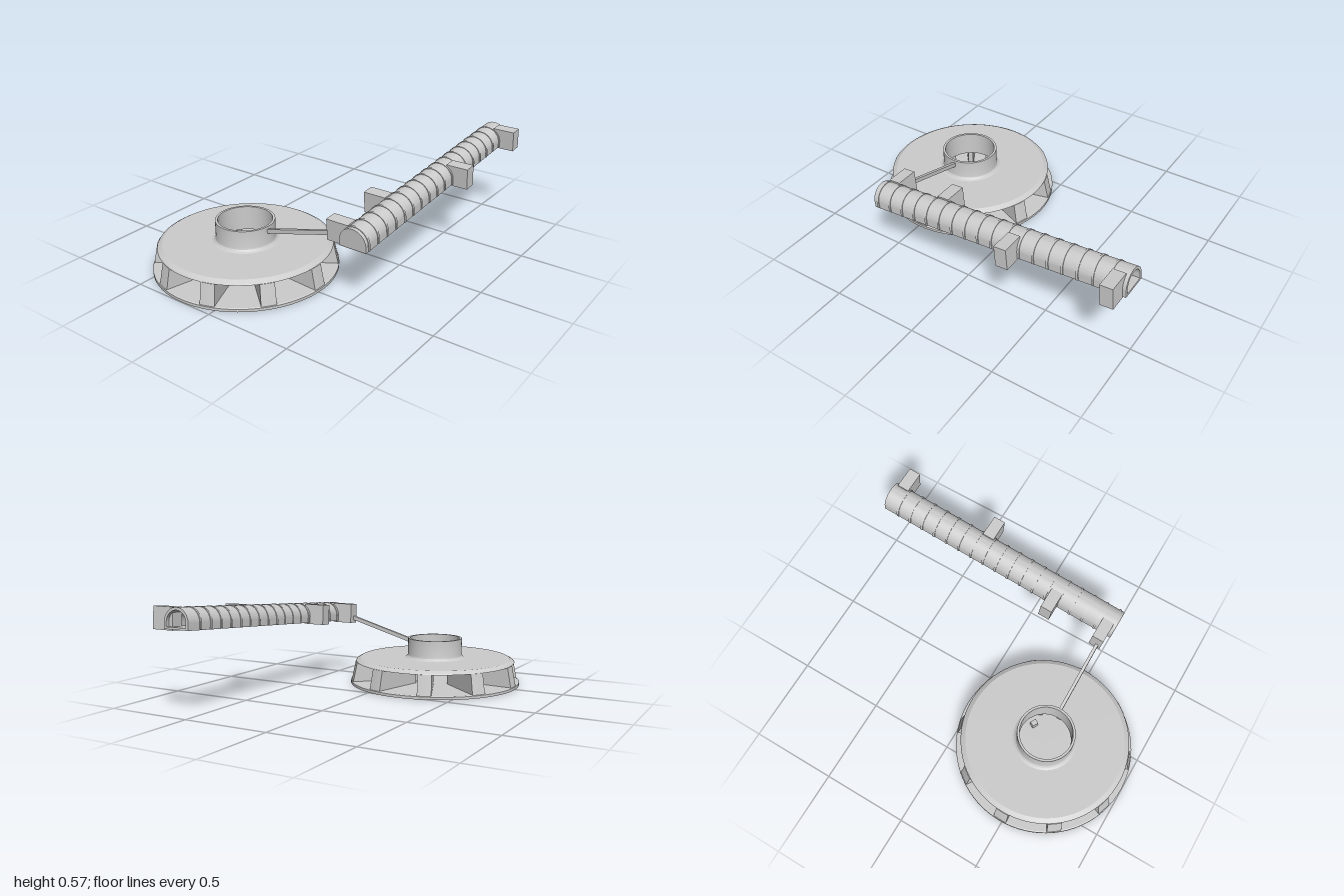
import * as THREE from 'three';
import { toCreasedNormals } from 'three/addons/utils/BufferGeometryUtils.js';

const material = new THREE.MeshStandardMaterial({ color: 0xcccccc });
const doubleMaterial = new THREE.MeshStandardMaterial({ color: 0xcccccc, side: THREE.DoubleSide });

function add(parent, name, geometry, mat = material) {
  const mesh = new THREE.Mesh(geometry, mat);
  mesh.name = name;
  parent.add(mesh);
  return mesh;
}

const vectors = (points) => points.map(([x, y]) => new THREE.Vector2(x, y));

function lathe(points, segments = 80, start = 0, length = Math.PI * 2) {
  return toCreasedNormals(new THREE.LatheGeometry(vectors(points), segments, start, length), 0.4);
}

// Arched section: flat bottom, straight sides, half-round top
function arch(Type, radius, bottom, spring) {
  const s = new Type();
  s.moveTo(-radius, bottom);
  s.lineTo(radius, bottom);
  s.lineTo(radius, spring);
  s.absarc(0, spring, radius, 0, Math.PI, false);
  s.lineTo(-radius, bottom);
  return s;
}

function extrudeArch(shape, depth, zFront) {
  const g = new THREE.ExtrudeGeometry(shape, { depth, bevelEnabled: false, curveSegments: 28 });
  g.translate(0, 0, zFront - depth);
  return toCreasedNormals(g, 0.4);
}

function buildHub() {
  const hub = new THREE.Group();
  hub.name = 'roundHub';
  hub.position.set(-0.2, 0, 0.483);

  add(hub, 'baseDisc', lathe([[0, 0], [0.515, 0], [0.515, 0.016], [0.508, 0.02], [0, 0.02]]));

  // Roof plate with its bevelled rim and the open collar
  add(hub, 'roofAndCollar', lathe([
    [0.15, 0.135], [0.484, 0.135], [0.48, 0.141], [0.456, 0.155], [0.186, 0.155],
    [0.175, 0.16], [0.167, 0.169], [0.164, 0.18], [0.164, 0.275], [0.15, 0.275], [0.15, 0.135],
  ]));

  // Wedge walls between the ten windows, tapering towards the middle
  const half = THREE.MathUtils.degToRad(4.6);
  const profile = [[0.18, 0.015], [0.511, 0.015], [0.486, 0.136], [0.18, 0.136], [0.18, 0.015]];
  for (let i = 0; i < 10; i++) {
    const angle = ((i + 0.5) * Math.PI) / 5;
    const wall = new THREE.Group();
    wall.name = 'wedgeWall';
    add(wall, 'wedgeEnds', lathe(profile, 4, angle - half, half * 2), doubleMaterial);
    for (const side of [-1, 1]) {
      const face = new THREE.ShapeGeometry(new THREE.Shape(vectors(profile.slice(0, 4))));
      face.rotateY(angle + side * half - Math.PI / 2);
      add(wall, 'wedgeSide', face, doubleMaterial);
    }
    hub.add(wall);
  }

  // Small block inside the collar opening
  const peg = add(hub, 'smallBlock', new THREE.BoxGeometry(0.036, 0.05, 0.03));
  peg.position.set(0.075, 0.04, -0.108);
  peg.rotation.y = -0.5;
  return hub;
}

function buildTunnel() {
  const tunnel = new THREE.Group();
  tunnel.name = 'slopingTunnel';
  tunnel.position.set(0.542, 0.335, 0.525);
  tunnel.rotation.x = 0.079;
  const length = 1.529;

  // Hollow shell, open at the back and closed at the front
  const shell = arch(THREE.Shape, 0.079, 0, 0.035);
  shell.holes.push(arch(THREE.Path, 0.064, 0.012, 0.035));
  add(tunnel, 'tunnelShell', extrudeArch(shell, length - 0.015, -0.015));
  add(tunnel, 'frontCap', extrudeArch(arch(THREE.Shape, 0.079, 0, 0.035), 0.015, 0));

  // Raised hoops along the shell
  for (let i = 0; i < 18; i++) {
    const hoop = arch(THREE.Shape, 0.084, 0.003, 0.033);
    hoop.holes.push(arch(THREE.Path, 0.07, 0.008, 0.035));
    add(tunnel, 'hoop', extrudeArch(hoop, 0.012, -0.02 - i * 0.083));
  }

  // Side boxes: two on one side, two on the other
  for (const [side, z] of [[-1, -0.055], [-1, -0.39], [1, -0.895], [1, -1.475]]) {
    const box = add(tunnel, 'sideBox', new THREE.BoxGeometry(0.13, 0.12, 0.07));
    box.position.set(side * 0.105, 0.052, z);
  }
  return tunnel;
}

export function createModel() {
  const model = new THREE.Group();
  model.name = 'hubWithTunnel';
  model.add(buildHub(), buildTunnel());

  // Slanted rod joining the collar to the first side box
  const from = new THREE.Vector2(-0.045, 0.244);
  const to = new THREE.Vector2(0.39, 0.367);
  const rod = add(model, 'connectingRod', new THREE.BoxGeometry(from.distanceTo(to), 0.024, 0.018));
  rod.position.set((from.x + to.x) / 2, (from.y + to.y) / 2, 0.483);
  rod.rotation.z = Math.atan2(to.y - from.y, to.x - from.x);
  return model;
}
